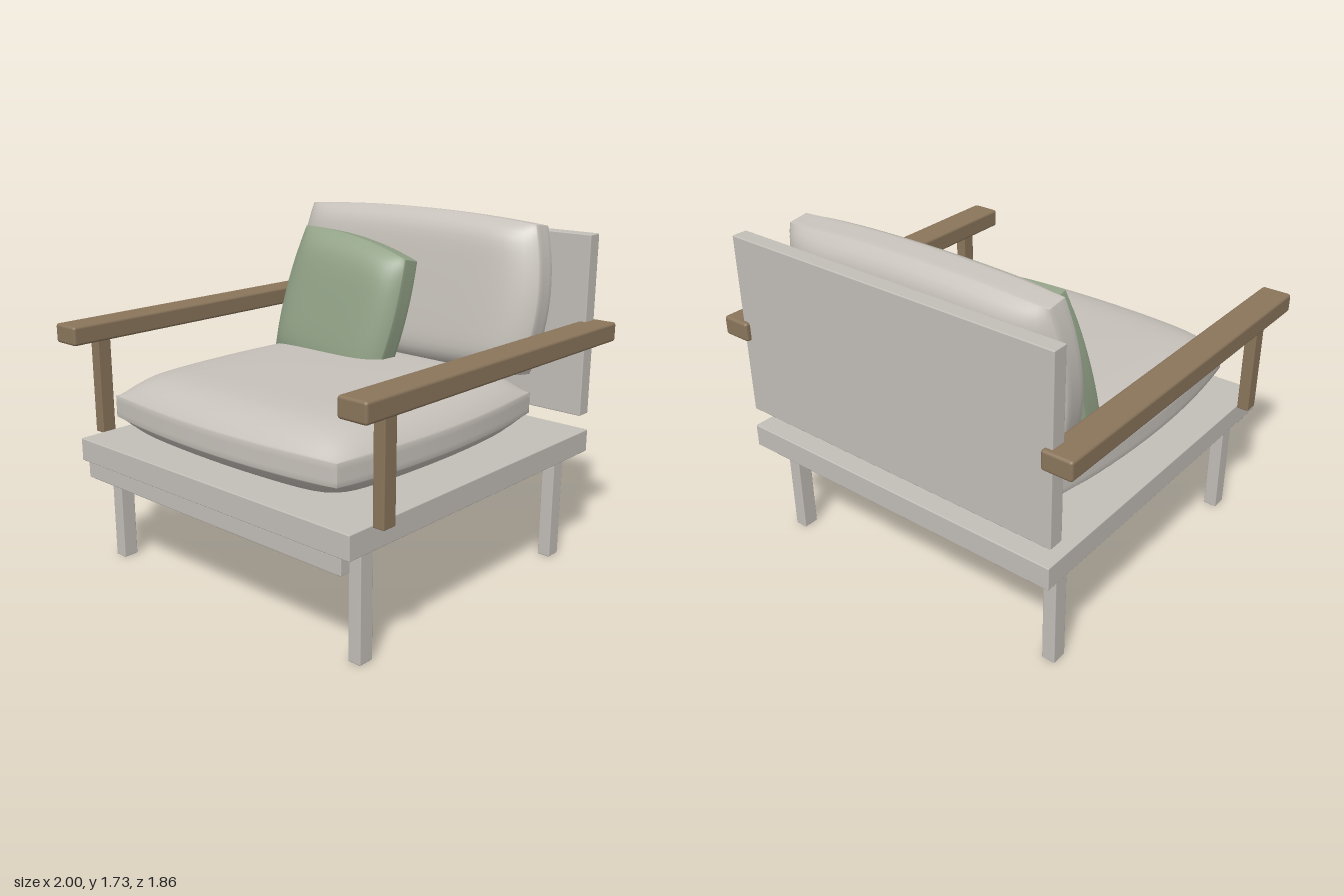
import * as THREE from 'three';
import { mergeVertices } from 'three/addons/utils/BufferGeometryUtils.js';
import { RoundedBoxGeometry } from 'three/addons/geometries/RoundedBoxGeometry.js';

const material = (name, color) => {
  const m = new THREE.MeshStandardMaterial({ color });
  m.name = name;
  return m;
};

// Soft pillow lying in the xy plane: edges bow outward, thickness falls off at the rim.
function cushionGeometry(halfX, halfY, halfZ, rim, bow = 0.08, power = 9) {
  const geo = new THREE.BoxGeometry(2, 2, 2, 24, 24, 4);
  geo.deleteAttribute('uv');
  geo.deleteAttribute('normal');
  const p = geo.attributes.position;
  for (let i = 0; i < p.count; i++) {
    // Crowd the grid towards the rim, where the surface curves most
    const u = Math.sin(p.getX(i) * Math.PI / 2);
    const v = Math.sin(p.getY(i) * Math.PI / 2);
    const full = (1 - Math.abs(u) ** power) * (1 - Math.abs(v) ** power);
    const crown = 0.95 + 0.05 * (1 - u * u) * (1 - v * v);
    p.setXYZ(i,
      halfX * u * (1 - bow * v * v),
      halfY * v * (1 - bow * u * u),
      halfZ * p.getZ(i) * (rim + (1 - rim) * full) * crown);
  }
  const smooth = mergeVertices(geo, 1e-5);
  smooth.computeVertexNormals();
  return smooth;
}

export function createModel() {
  const model = new THREE.Group();
  model.name = 'armchair';
  const frame = material('pale frame', 0xc2beb8);
  const fabric = material('cushion fabric', 0xc6c1ba);
  const wood = material('brown wood', 0x8a755b);
  const green = material('sage green fabric', 0x92a287);

  const add = (name, geo, mat, x, y, z) => {
    const mesh = new THREE.Mesh(geo, mat);
    mesh.name = name;
    mesh.position.set(x, y, z);
    model.add(mesh);
    return mesh;
  };
  // Box given by its limits on each axis
  const slab = (name, mat, [x0, x1], [y0, y1], [z0, z1], radius = 0.005) =>
    add(name, new RoundedBoxGeometry(x1 - x0, y1 - y0, z1 - z0, 2, radius), mat,
      (x0 + x1) / 2, (y0 + y1) / 2, (z0 + z1) / 2);

  // Platform, front rail and back panel
  slab('seatPlatform', frame, [-0.89, 0.89], [0.535, 0.65], [-0.915, 0.9]);
  slab('frontRail', frame, [-0.842, 0.842], [0.457, 0.538], [0.84, 0.897]);
  slab('backPanel', frame, [-0.89, 0.89], [0.74, 1.645], [-0.905, -0.826]);

  // Legs, arm posts and armrests on both sides
  for (const [side, s] of [['left', 1], ['right', -1]]) {
    const span = (a, b) => (s > 0 ? [a, b] : [-b, -a]);
    slab(side + 'FrontLeg', frame, span(0.767, 0.835), [0, 0.54], [0.688, 0.768]);
    slab(side + 'BackLeg', frame, span(0.767, 0.835), [0, 0.54], [-0.782, -0.702]);
    slab(side + 'ArmPost', wood, span(0.892, 0.952), [0.642, 1.14], [0.69, 0.765]);
    slab(side + 'Armrest', wood, span(0.848, 1), [1.125, 1.22], [-0.93, 0.93], 0.014);
  }

  // Seat and back cushions
  const seat = add('seatCushion', cushionGeometry(0.79, 0.766, 0.175, 0.31), fabric, 0, 0.825, 0.09);
  seat.rotation.x = -Math.PI / 2;
  const back = add('backCushion', cushionGeometry(0.785, 0.392, 0.152, 0.35), fabric, 0, 1.336, -0.608);
  back.rotation.x = -0.14;

  // Loose throw pillow leaning on the back cushion
  const pillow = add('throwPillow', cushionGeometry(0.385, 0.385, 0.132, 0.38, 0.08, 6), green, -0.275, 1.2, -0.35);
  pillow.rotation.set(-0.21, 0, -0.155);

  return model;
}
